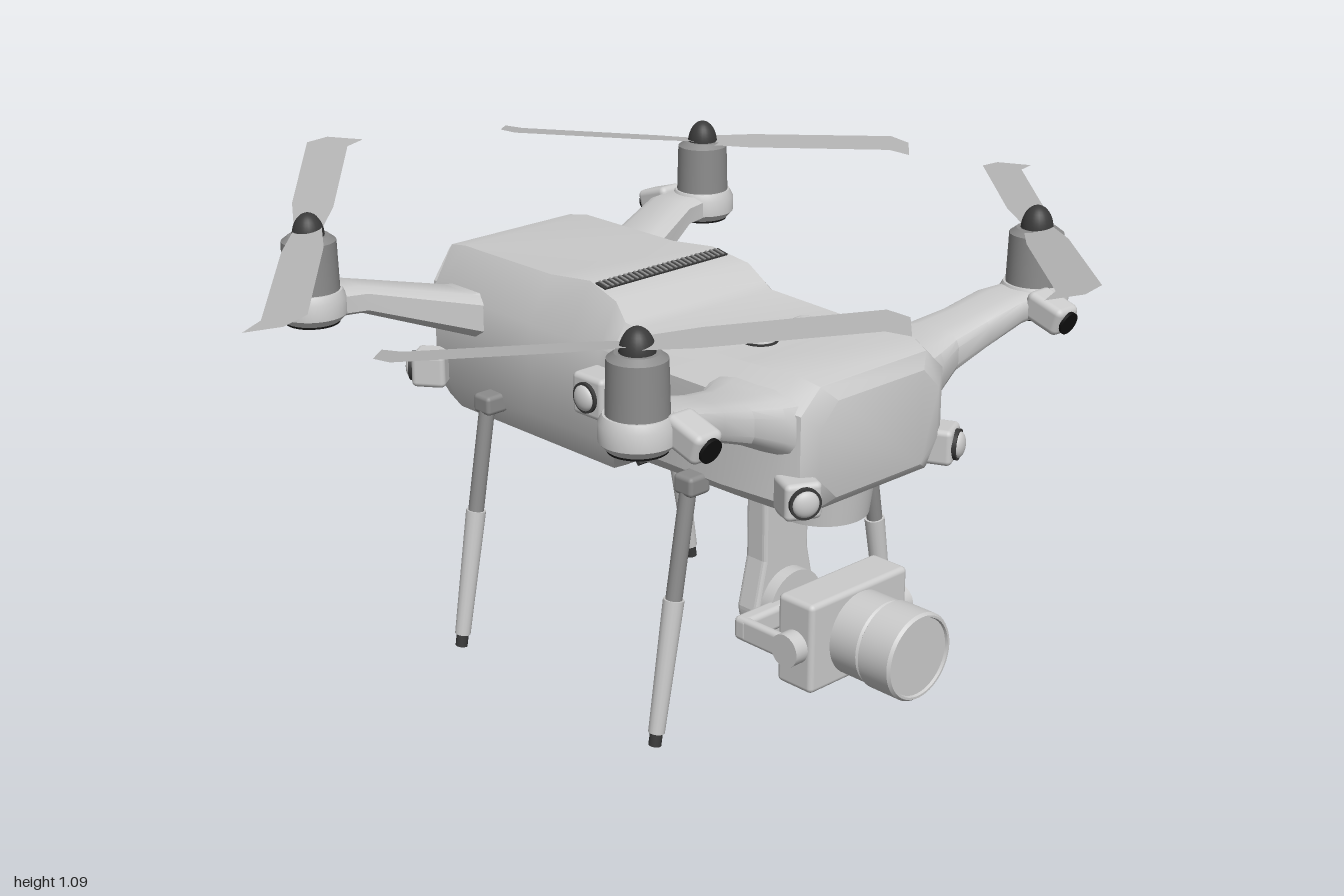
import * as THREE from 'three';
import { toCreasedNormals } from 'three/addons/utils/BufferGeometryUtils.js';
import { RoundedBoxGeometry } from 'three/addons/geometries/RoundedBoxGeometry.js';

const paint = (color, side = THREE.FrontSide) => new THREE.MeshStandardMaterial({ color, side });
const grey = paint(0xcccccc);
const steel = paint(0x8c8c8c);
const dark = paint(0x3a3a3a);
const black = paint(0x111111);
const bladeGrey = paint(0xb4b4b4, THREE.DoubleSide);

function add(parent, name, geometry, material, x = 0, y = 0, z = 0) {
  const mesh = new THREE.Mesh(geometry, material);
  mesh.name = name;
  mesh.position.set(x, y, z);
  parent.add(mesh);
  return mesh;
}

const cyl = (r0, r1, h, n = 32) => new THREE.CylinderGeometry(r0, r1, h, n);
const cylZ = (r0, r1, h, n = 32) => cyl(r0, r1, h, n).rotateX(Math.PI / 2);
const dome = (r) => new THREE.SphereGeometry(r, 24, 10, 0, Math.PI * 2, 0, Math.PI / 2);

// Tapered rod from a to b
function rod(parent, name, a, b, ra, rb, material) {
  const d = b.clone().sub(a);
  const mesh = add(parent, name, cyl(rb, ra, d.length(), 16), material);
  mesh.position.copy(a).addScaledVector(d, 0.5);
  mesh.quaternion.setFromUnitVectors(new THREE.Vector3(0, 1, 0), d.normalize());
}

// Skin over matching rings, capped, always wound outwards
function loft(rings, crease = 0.6) {
  const n = rings[0].length, pts = rings.flat(), tris = [];
  for (let i = 0; i < rings.length - 1; i++) {
    for (let j = 0; j < n; j++) {
      const a = i * n + j, b = i * n + (j + 1) % n;
      tris.push([a, b, b + n], [a, b + n, a + n]);
    }
  }
  const last = (rings.length - 1) * n;
  for (let j = 1; j < n - 1; j++) tris.push([0, j + 1, j], [last, last + j, last + j + 1]);
  const v = pts.map((p) => new THREE.Vector3(...p));
  let volume = 0;
  for (const [a, b, c] of tris) volume += v[a].dot(v[b].clone().cross(v[c]));
  const g = new THREE.BufferGeometry();
  g.setAttribute('position', new THREE.Float32BufferAttribute(pts.flat(), 3));
  g.setIndex(tris.flatMap(([a, b, c]) => (volume < 0 ? [a, c, b] : [a, b, c])));
  return toCreasedNormals(g, crease);
}

// Small camera block looking along its own +z
function sensor(parent, name, x, y, z, yaw, size = 0.08) {
  const g = new THREE.Group();
  g.name = name;
  g.position.set(x, y, z);
  g.rotation.y = yaw;
  add(g, 'sensorHousing', new RoundedBoxGeometry(size, size, 0.08, 3, 0.012), grey);
  add(g, 'sensorRim', cylZ(0.034, 0.034, 0.012), dark, 0, 0, 0.042);
  add(g, 'sensorLens', dome(0.029).scale(1, 0.5, 1).rotateX(Math.PI / 2), grey, 0, 0, 0.046);
  parent.add(g);
}

function buildBody(root) {
  // z, bottom, lower edge, shoulder, top, then half widths: bottom, middle, top
  const stations = [
    [0.612, 0.60, 0.65, 0.76, 0.81, 0.13, 0.18, 0.13],
    [0.59, 0.575, 0.62, 0.79, 0.84, 0.17, 0.215, 0.16],
    [0.54, 0.56, 0.60, 0.80, 0.855, 0.19, 0.235, 0.175],
    [0.40, 0.56, 0.60, 0.80, 0.85, 0.20, 0.25, 0.18],
    [0.10, 0.56, 0.60, 0.80, 0.85, 0.21, 0.25, 0.20],
    [0.07, 0.535, 0.60, 0.80, 0.86, 0.21, 0.25, 0.21],
    [0.03, 0.515, 0.59, 0.80, 0.895, 0.21, 0.25, 0.20],
    [-0.07, 0.515, 0.59, 0.80, 0.915, 0.21, 0.25, 0.185],
    [-0.20, 0.515, 0.59, 0.80, 0.90, 0.21, 0.25, 0.185],
    [-0.50, 0.515, 0.59, 0.80, 0.90, 0.21, 0.245, 0.185],
    [-0.555, 0.53, 0.59, 0.80, 0.89, 0.20, 0.235, 0.18]];
  add(root, 'body', loft(stations.map(([z, b, l, s, t, wb, wm, wt]) => [
    [wb, b, z], [wm, l, z], [wm, s, z], [wt, t, z],
    [-wt, t, z], [-wm, s, z], [-wm, l, z], [-wb, b, z]])), grey);

  // Rear panel with vent slots and fan opening
  const p = new THREE.Shape([[-0.19, 0.53], [0.19, 0.53], [0.225, 0.57], [0.225, 0.81], [0.175, 0.88],
    [-0.175, 0.88], [-0.225, 0.81], [-0.225, 0.57]].map((q) => new THREE.Vector2(...q)));
  add(root, 'rearPanel', new THREE.ExtrudeGeometry(p, { depth: 0.015, bevelEnabled: false }), grey, 0, 0, -0.568);
  for (let i = 0; i < 4; i++) {
    add(root, 'rearVentSlot', new RoundedBoxGeometry(0.026, 0.24, 0.01, 3, 0.005), black, -0.02 + i * 0.056, 0.71, -0.568);
  }
  add(root, 'rearFan', cylZ(0.07, 0.07, 0.02), black, -0.125, 0.755, -0.57);

  // Vent grille on top and under the step
  add(root, 'topVent', new THREE.BoxGeometry(0.37, 0.012, 0.032), dark, 0, 0.906, -0.038).rotation.x = 0.2;
  for (let i = 0; i < 25; i++) {
    add(root, 'topVentRib', new THREE.BoxGeometry(0.005, 0.005, 0.03), steel, -0.174 + i * 0.0145, 0.912, -0.038).rotation.x = 0.2;
  }
  add(root, 'bellyVent', new THREE.BoxGeometry(0.38, 0.025, 0.01), dark, 0, 0.543, 0.08).rotation.x = -0.7;

  // Belly sensors
  [[-0.06, -0.09, black], [0.06, -0.09, black], [-0.06, -0.17, grey], [0, -0.13, grey], [0.06, -0.17, grey]]
    .forEach(([x, z, m]) => add(root, 'bellySensor', dome(0.028).scale(1, 0.6, 1).rotateX(Math.PI), m, x, 0.516, z));

  for (const s of [-1, 1]) {
    add(root, 'topButtonRim', cyl(0.038, 0.038, 0.01), dark, s * 0.067, 0.849, 0.33);
    add(root, 'topButton', dome(0.034).scale(1, 0.6, 1), grey, s * 0.067, 0.852, 0.33);
    sensor(root, 'frontSensor', s * 0.215, 0.62, 0.585, s * 0.45);
    sensor(root, 'sideSensor', s * 0.275, 0.715, 0.06, s * Math.PI / 2, 0.095);
    sensor(root, 'rearSensor', s * 0.27, 0.62, -0.53, s * 2.5);
  }
}

// Arm, motor and propeller at one corner
function buildCorner(root, s, f) {
  const g = new THREE.Group();
  g.name = f > 0 ? 'frontArm' : 'rearArm';
  // x, centre z, half depth, bottom, top
  const sections = f > 0
    ? [[0.17, 0.45, 0.15, 0.66, 0.83], [0.24, 0.46, 0.115, 0.70, 0.825], [0.31, 0.475, 0.08, 0.735, 0.83],
      [0.40, 0.495, 0.068, 0.77, 0.85], [0.49, 0.515, 0.068, 0.81, 0.875], [0.57, 0.525, 0.06, 0.815, 0.88]]
    : [[0.17, -0.43, 0.09, 0.69, 0.82], [0.25, -0.445, 0.085, 0.72, 0.825],
      [0.49, -0.53, 0.072, 0.81, 0.875], [0.57, -0.53, 0.06, 0.815, 0.88]];
  const sides = f > 0 ? 16 : 8;
  add(g, 'arm', loft(sections.map(([x, zc, hz, b, t]) => Array.from({ length: sides }, (_, i) => {
    const a = (i + 0.5) / sides * Math.PI * 2;
    const soft = (v) => Math.sign(v) * Math.abs(v) ** 0.55;
    return [s * x, (b + t) / 2 + soft(Math.sin(a)) * (t - b) / 2, zc + soft(Math.cos(a)) * hz];
  }))), grey);

  const x = s * 0.595, z = f * 0.525;
  const cup = [[0, 0.812], [0.062, 0.812], [0.077, 0.828], [0.077, 0.865], [0.068, 0.882], [0, 0.882]];
  add(g, 'motorCup', toCreasedNormals(new THREE.LatheGeometry(cup.map((q) => new THREE.Vector2(...q)), 32), 0.6), grey, x, 0, z);
  add(g, 'motorUnderside', cyl(0.06, 0.06, 0.006), black, x, 0.81, z);
  add(g, 'motor', cyl(0.06, 0.063, 0.115), steel, x, 0.935, z);
  add(g, 'motorTop', cyl(0.045, 0.06, 0.012), steel, x, 0.998, z);
  add(g, 'propellerCap', dome(0.036).scale(1, 1.5, 1), dark, x, 1.0, z);

  // Tilted arm light
  const lamp = new THREE.Group();
  lamp.name = 'armLight';
  lamp.position.set(s * 0.54, 0.845, f * 0.615);
  lamp.rotation.set(0.3, f > 0 ? 0 : Math.PI, 0, 'YXZ');
  add(lamp, 'lightHousing', new RoundedBoxGeometry(0.07, 0.065, 0.1, 3, 0.015), grey);
  add(lamp, 'lightLens', cylZ(0.026, 0.026, 0.012), black, 0, 0, 0.05);
  g.add(lamp);

  // Two-blade propeller with hooked tips
  const prop = new THREE.Group();
  prop.name = 'propeller';
  prop.position.set(x, s > 0 ? 1.005 : 1.02, z);
  prop.rotation.set(0, s * f > 0 ? 0.855 : -0.89, s > 0 ? 0 : 0.125, 'YXZ');
  const outline = [[0, -0.03], [0.12, -0.045], [0.465, -0.043], [0.51, 0], [0.515, 0.082], [0.465, 0.05], [0.12, 0.045], [0, 0.03]];
  const blade = new THREE.ShapeGeometry(new THREE.Shape(outline.map((q) => new THREE.Vector2(...q)))).rotateX(Math.PI / 2);
  const pos = blade.attributes.position;
  for (let i = 0; i < pos.count; i++) pos.setY(i, 0.02 * pos.getX(i) - 0.12 * pos.getZ(i));
  blade.computeVertexNormals();
  add(prop, 'blade', blade, bladeGrey);
  add(prop, 'blade', blade, bladeGrey).rotation.y = Math.PI;
  g.add(prop);
  root.add(g);

  // Landing leg
  const leg = new THREE.Group();
  leg.name = 'leg';
  const at = (t) => new THREE.Vector3(s * (0.27 + 0.1 * t), 0.59 - 0.58 * t, f * 0.328);
  add(leg, 'legBracket', new RoundedBoxGeometry(0.06, 0.045, 0.055, 2, 0.01), steel, s * 0.262, 0.585, f * 0.328);
  rod(leg, 'upperLeg', at(0), at(0.45), 0.018, 0.018, steel);
  rod(leg, 'lowerLeg', at(0.44), at(0.95), 0.023, 0.018, grey);
  rod(leg, 'foot', at(0.94), at(1), 0.014, 0.014, dark);
  root.add(leg);
}

function buildGimbal(root) {
  const g = new THREE.Group();
  g.name = 'gimbalCamera';
  add(g, 'panMotor', cyl(0.11, 0.1, 0.075, 40), grey, 0, 0.527, 0.455);
  add(g, 'panArm', new RoundedBoxGeometry(0.12, 0.05, 0.16, 3, 0.015), grey, 0, 0.505, 0.375);
  // Hanging arm with rounded lower end
  const arm = new THREE.Shape();
  arm.moveTo(-0.06, 0.53).lineTo(-0.06, 0.35).lineTo(-0.085, 0.24);
  arm.absarc(0, 0.24, 0.085, Math.PI, Math.PI * 2, false);
  arm.lineTo(0.06, 0.35).lineTo(0.06, 0.53);
  add(g, 'hangingArm', new THREE.ExtrudeGeometry(arm,
    { depth: 0.04, bevelSize: 0.008, bevelThickness: 0.01, bevelSegments: 3, curveSegments: 20 }), grey, 0, 0, 0.305);
  add(g, 'rollMotor', cylZ(0.08, 0.08, 0.04), grey, 0, 0.24, 0.365);
  // Fork around the camera
  add(g, 'forkBridge', new RoundedBoxGeometry(0.36, 0.055, 0.04, 3, 0.012), grey, 0, 0.24, 0.39);
  for (const s of [-1, 1]) {
    add(g, 'forkSide', new RoundedBoxGeometry(0.022, 0.055, 0.16, 3, 0.01), grey, s * 0.168, 0.24, 0.455);
    add(g, 'tiltMotor', cyl(0.037, 0.037, 0.036).rotateZ(Math.PI / 2), grey, s * 0.166, 0.24, 0.525);
  }
  add(g, 'cameraBody', new RoundedBoxGeometry(0.3, 0.205, 0.1, 3, 0.012), grey, 0, 0.243, 0.522);
  const lens = [[0, 0.56], [0.094, 0.56], [0.094, 0.645], [0.09, 0.65], [0.098, 0.656], [0.098, 0.735],
    [0.093, 0.742], [0.088, 0.742], [0.086, 0.736], [0, 0.736]];
  add(g, 'lens', toCreasedNormals(new THREE.LatheGeometry(lens.map((q) => new THREE.Vector2(...q)), 48)
    .rotateX(Math.PI / 2), 0.5), grey, 0, 0.24, 0);
  root.add(g);
}

export function createModel() {
  const root = new THREE.Group();
  root.name = 'quadcopter';
  buildBody(root);
  for (const s of [-1, 1]) for (const f of [-1, 1]) buildCorner(root, s, f);
  buildGimbal(root);
  return root;
}
